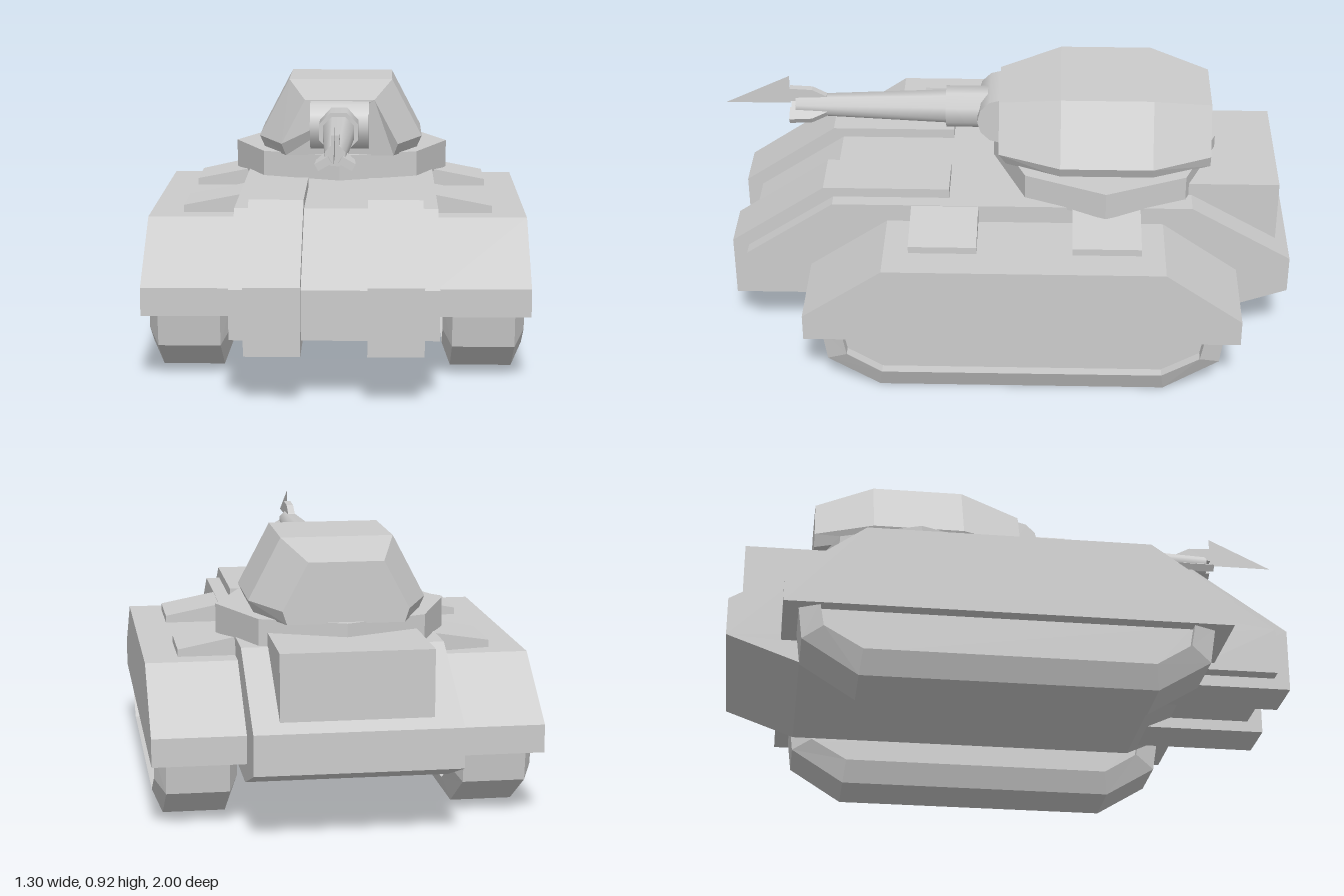
import * as THREE from 'three';

const flat = new THREE.MeshStandardMaterial({ color: 0xcccccc, flatShading: true });
const smooth = new THREE.MeshStandardMaterial({ color: 0xcccccc });
const thin = new THREE.MeshStandardMaterial({ color: 0xcccccc, flatShading: true, side: THREE.DoubleSide });

// Side profile of [z, y] points, extruded from x0 to x1
function slab(points, x0, x1) {
  const shape = new THREE.Shape(points.map(([z, y]) => new THREE.Vector2(z, y)));
  const geo = new THREE.ExtrudeGeometry(shape, { depth: x1 - x0, bevelEnabled: false });
  return geo.rotateY(-Math.PI / 2).translate(x1, 0, 0);
}

// Skin a row of equal-length loops of [x, y, z], with fan caps, facing outwards
function loft(loops) {
  const tris = [];
  const n = loops[0].length;
  for (let i = 0; i < loops.length - 1; i++) {
    for (let j = 0; j < n; j++) {
      const k = (j + 1) % n;
      const a = loops[i][j], b = loops[i][k], c = loops[i + 1][k], d = loops[i + 1][j];
      tris.push([a, b, c], [a, c, d]);
    }
  }
  const first = loops[0], last = loops[loops.length - 1];
  for (let j = 1; j < n - 1; j++) {
    tris.push([first[0], first[j + 1], first[j]], [last[0], last[j], last[j + 1]]);
  }
  const v = (p) => new THREE.Vector3(...p);
  const volume = tris.reduce((s, [a, b, c]) => s + v(a).dot(v(b).cross(v(c))), 0);
  if (volume < 0) tris.forEach((t) => t.reverse());
  const geo = new THREE.BufferGeometry();
  geo.setAttribute('position', new THREE.Float32BufferAttribute(tris.flat(2), 3));
  geo.computeVertexNormals();
  return geo;
}

export function createModel() {
  const model = new THREE.Group();
  const add = (name, geo, material = flat, parent = model) => {
    const mesh = new THREE.Mesh(geo, material);
    mesh.name = name;
    parent.add(mesh);
    return mesh;
  };

  // Hull with sloped nose and tail
  add('hull', slab([
    [0.91, 0.37], [0.6, 0.58], [-0.65, 0.58], [-1, 0.375], [-1, 0.24],
    [-0.75, 0.15], [0.5, 0.15], [0.62, 0.205], [0.91, 0.205],
  ], -0.34, 0.34));

  // Rear stowage box
  add('rearBox', new THREE.BoxGeometry(0.5, 0.225, 0.315).translate(0, 0.5125, -0.797));

  const fender = [[0.685, 0.325], [0.41, 0.515], [-0.55, 0.515], [-0.815, 0.325], [-0.815, 0.23], [0.685, 0.23]];
  const strip = [[0.965, 0.39], [0.635, 0.615], [0.195, 0.615], [0.195, 0.5], [0.5, 0.165], [0.965, 0.165]];
  const trackRim = [[0.63, 0.24], [0.61, 0.11], [0.43, 0], [-0.56, 0], [-0.75, 0.12], [-0.765, 0.24]];
  const trackInner = [[0.555, 0.24], [0.54, 0.155], [0.42, 0.08], [-0.55, 0.08], [-0.68, 0.155], [-0.695, 0.24]];

  for (const s of [1, -1]) {
    const side = s > 0 ? 'left' : 'right';
    const span = (a, b) => (s > 0 ? [a, b] : [-b, -a]);
    add(side + 'Fender', slab(fender, ...span(0.34, 0.65)));
    add(side + 'NoseStrip', slab(strip, ...span(0.107, 0.29)));

    // Track: bevelled belt with a recessed panel on each side
    const ring = (pts, x) => pts.map(([z, y]) => [s * x, y, z]);
    add(side + 'Track', loft([
      ring(trackInner, 0.395), ring(trackInner, 0.36), ring(trackRim, 0.39),
      ring(trackRim, 0.6), ring(trackInner, 0.635), ring(trackInner, 0.6),
    ]));

    // Wedge blocks on the fenders
    for (const [name, z0, z1, skew] of [['FrontBlock', 0.325, 0.092, 0], ['RearBlock', -0.235, -0.47, s < 0 ? 0.04 : 0]]) {
      const section = (x, y, zBack) => [[s * x, 0.5, z0], [s * x, y, z0], [s * x, y, zBack], [s * x, 0.5, zBack]];
      add(side + name, loft([section(0.33, 0.58, z1 - skew), section(0.535, 0.54, z1)]));
    }
  }

  // Turret ring and faceted turret
  add('turretRing', new THREE.CylinderGeometry(0.395, 0.395, 0.1, 8).translate(0, 0.62, -0.348));
  const turretSection = (z, zLow, top, wTop, wMid, wLow) => [
    [wTop, top, z], [wMid, 0.71, z], [wLow, 0.665, zLow],
    [-wLow, 0.665, zLow], [-wMid, 0.71, z], [-wTop, top, z],
  ];
  add('turret', loft([
    turretSection(0.025, 0, 0.87, 0.125, 0.21, 0.195),
    turretSection(-0.19, -0.19, 0.92, 0.19, 0.3, 0.28),
    turretSection(-0.51, -0.51, 0.92, 0.19, 0.3, 0.28),
    turretSection(-0.715, -0.715, 0.87, 0.125, 0.21, 0.195),
  ]));

  // Gun, built around its own axis at z = 0
  const gun = new THREE.Group();
  gun.name = 'gun';
  gun.position.y = 0.78;
  model.add(gun);
  const tube = (rFront, rBack, z0, z1) => new THREE.CylinderGeometry(rFront, rBack, z1 - z0, 8)
    .rotateY(Math.PI / 8).rotateX(Math.PI / 2).translate(0, 0, (z0 + z1) / 2);
  add('mantlet', new THREE.CylinderGeometry(0.088, 0.088, 0.21, 12).rotateZ(Math.PI / 2).translate(0, 0, 0.015), smooth, gun);
  add('gunSleeve', tube(0.074, 0.074, 0.04, 0.215), smooth, gun);
  add('barrel', tube(0.036, 0.06, 0.2, 0.75), smooth, gun);

  // Three muzzle fins
  const fin = [[0.63, 0.02], [0.64, 0.04], [0.69, 0.066], [0.77, 0.07], [0.77, 0.02]];
  for (let i = 0; i < 3; i++) {
    const mesh = add('muzzleFin', slab(fin, -0.013, 0.013), flat, gun);
    mesh.rotation.z = (i * Math.PI * 2) / 3;
  }

  // Thin pointed blade at the muzzle tip
  const blade = new THREE.BufferGeometry();
  blade.setAttribute('position', new THREE.Float32BufferAttribute([0, 0.005, 1, 0, 0.115, 0.77, 0, 0.005, 0.77], 3));
  blade.computeVertexNormals();
  add('muzzleBlade', blade, thin, gun);

  return model;
}
